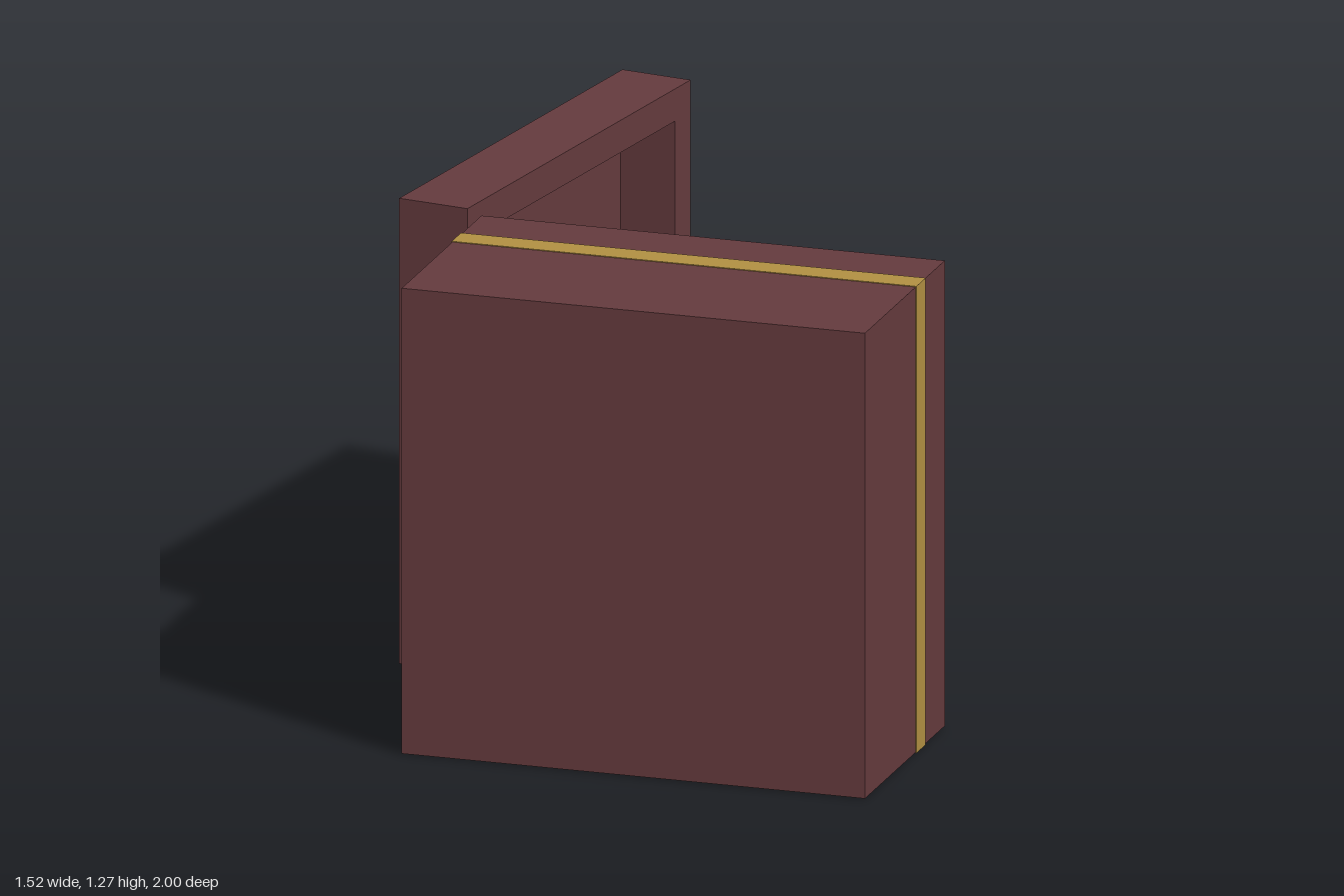
import * as THREE from 'three';

const SIZE = 1.27;      // width and height of box and lid
const WALL = 0.088;     // wall thickness
const FLOOR = 0.11;     // thickness of the lower wall
const PIXEL = 0.137;    // unit of the inlay pattern

const wood = new THREE.MeshStandardMaterial({ color: 0x643a3d });
const brass = new THREE.MeshStandardMaterial({ color: 0xb08f42 });

function part(name, geometry, material, x = 0, y = 0, z = 0) {
  const mesh = new THREE.Mesh(geometry, material);
  mesh.name = name;
  mesh.position.set(x, y, z);
  return mesh;
}

function rect(Type, x0, y0, x1, y1) {
  return new Type([[x0, y0], [x1, y0], [x1, y1], [x0, y1]].map(p => new THREE.Vector2(...p)));
}

// Rectangular ring extruded along z; each rectangle is [x0, y0, x1, y1]
function ring(outer, inner, depth) {
  const shape = rect(THREE.Shape, ...outer);
  shape.holes.push(rect(THREE.Path, ...inner));
  return new THREE.ExtrudeGeometry(shape, { depth, bevelEnabled: false });
}

const H = SIZE / 2;
const OUTER = [-H, 0, H, SIZE];
const INNER = [-H + WALL, FLOOR, H - WALL, SIZE - WALL];

function createBody() {
  const body = new THREE.Group();
  body.name = 'body';
  body.add(part('bodyWalls', ring(OUTER, INNER, 0.54), wood, 0, 0, 0.33));
  body.add(part('bodyPanel', new THREE.BoxGeometry(SIZE, SIZE, 0.13), wood, 0, H, 0.935));
  // Thin brass sleeve around all four sides
  const e = 0.002, t = 0.02;
  const sleeve = ring([-H - e, -e, H + e, SIZE + e], [-H + t, t, H - t, SIZE - t], 0.078);
  body.add(part('brassBand', sleeve, brass, 0, 0, 0.496));
  body.position.x = 0.125;
  return body;
}

// Lid lies in its own xy plane: outside at z = 0, hollow side towards +z
function createLid() {
  const lid = new THREE.Group();
  lid.name = 'lid';
  lid.add(part('lidRim', ring(OUTER, INNER, 0.16), wood, 0, 0, 0.04));
  lid.add(part('lidPanel', new THREE.BoxGeometry(SIZE, SIZE, 0.04), wood, 0, H, 0.02));
  // Inlaid square frame and two small diagonal squares
  const a = 4 * PIXEL, b = 3 * PIXEL;
  lid.add(part('inlayFrame', ring([-a, -a, a, a], [-b, -b, b, b], 0.012), brass, 0, H, -0.002));
  for (const s of [-1, 1]) {
    const square = new THREE.BoxGeometry(PIXEL, PIXEL, 0.012);
    lid.add(part('inlaySquare', square, brass, s * PIXEL / 2, H + s * PIXEL / 2, 0.004));
  }
  lid.position.set(-0.66, 0, -0.375);
  lid.rotation.y = Math.PI / 2 - 0.16;
  return lid;
}

export function createModel() {
  const box = new THREE.Group();
  box.name = 'hingedBox';
  box.add(createBody(), createLid());
  for (const y of [0.29, 0.97]) {
    box.add(part('hinge', new THREE.CylinderGeometry(0.038, 0.038, 0.252, 24), brass, -0.536, y, 0.305));
  }
  box.position.y = 0.002;
  return box;
}
